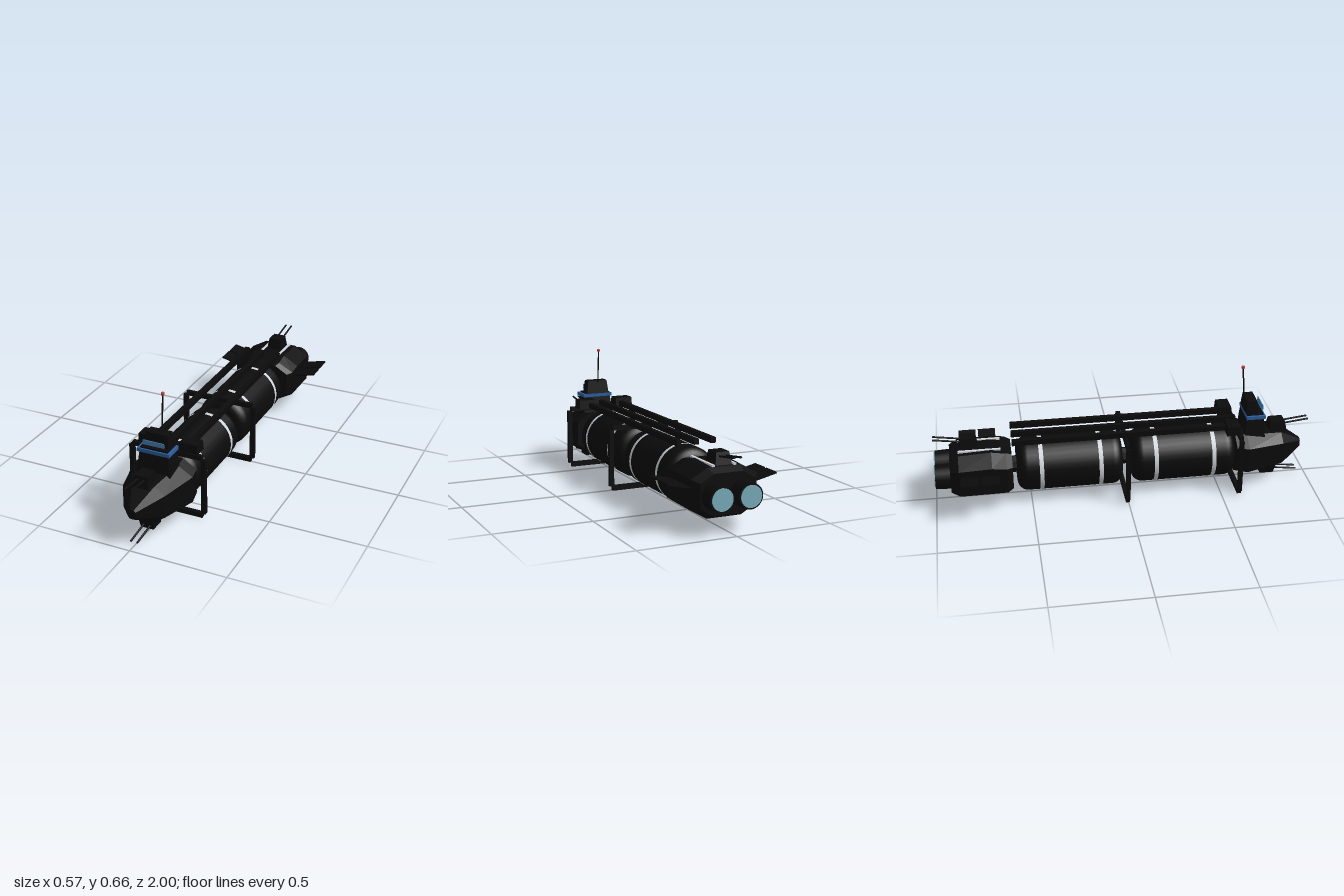
import * as THREE from 'three';

const mat = (color, flat = true) => {
  const m = new THREE.MeshStandardMaterial({ color, flatShading: flat });
  m.side = THREE.DoubleSide;
  return m;
};

export function createModel() {
  const root = new THREE.Group();
  const dark = mat(0x0b0b0b), smooth = mat(0x0b0b0b, false), pale = mat(0xd0d5da, false);
  const blue = mat(0x2b5fa0), glass = mat(0x4682b4), glow = mat(0x7ab0bd), red = mat(0xbe4040);

  const add = (name, geo, m, x = 0, y = 0, z = 0, parent = root) => {
    const mesh = new THREE.Mesh(geo, m);
    mesh.name = name;
    mesh.position.set(x, y, z);
    parent.add(mesh);
    return mesh;
  };
  // box given by its limits
  const box = (name, m, x0, x1, y0, y1, z0, z1) =>
    add(name, new THREE.BoxGeometry(x1 - x0, y1 - y0, z1 - z0), m, (x0 + x1) / 2, (y0 + y1) / 2, (z0 + z1) / 2);
  // box whose top face is scaled by tx, tz
  const taperBox = (w, h, d, tx, tz) => {
    const g = new THREE.BoxGeometry(w, h, d), p = g.attributes.position;
    for (let i = 0; i < p.count; i++)
      if (p.getY(i) > 0) p.setXYZ(i, p.getX(i) * tx, p.getY(i), p.getZ(i) * tz);
    g.computeVertexNormals();
    return g;
  };
  // straight round bar between two points
  const rod = (name, a, b, r, m = dark, parent = root) => {
    const A = new THREE.Vector3(...a), B = new THREE.Vector3(...b);
    const mesh = add(name, new THREE.CylinderGeometry(r, r, A.distanceTo(B), 8), m, 0, 0, 0, parent);
    mesh.position.copy(A).lerp(B, 0.5);
    mesh.quaternion.setFromUnitVectors(new THREE.Vector3(0, 1, 0), B.sub(A).normalize());
    return mesh;
  };
  // octagonal hull from sections [z, halfWidth, bottom, top], front to back
  const hull = (name, sections) => {
    const rings = sections.map(([z, w, y0, y1]) => {
      const c = w * 0.52, k = (y1 - y0) * 0.2;
      return [[w, y0 + k], [w, y1 - k], [c, y1], [-c, y1], [-w, y1 - k], [-w, y0 + k], [-c, y0], [c, y0]]
        .map(([x, y]) => [x, y, z]);
    });
    const v = [], last = rings.length - 1;
    for (let s = 0; s < last; s++)
      for (let i = 0; i < 8; i++) {
        const j = (i + 1) % 8, a = rings[s], b = rings[s + 1];
        v.push(...a[i], ...b[i], ...b[j], ...a[i], ...b[j], ...a[j]);
      }
    for (let i = 1; i < 7; i++) {
      v.push(...rings[0][0], ...rings[0][i], ...rings[0][i + 1]);
      v.push(...rings[last][0], ...rings[last][i + 1], ...rings[last][i]);
    }
    const g = new THREE.BufferGeometry();
    g.setAttribute('position', new THREE.Float32BufferAttribute(v, 3));
    g.computeVertexNormals();
    return add(name, g, dark);
  };

  // hull sections
  hull('noseHull', [[0.965, 0.02, 0.155, 0.205], [0.845, 0.112, 0.085, 0.28],
    [0.65, 0.16, 0.065, 0.295], [0.585, 0.15, 0.08, 0.3]]);
  hull('aftHull', [[-0.595, 0.15, 0.08, 0.285], [-0.625, 0.172, 0.065, 0.295], [-0.7, 0.172, 0.06, 0.308],
    [-0.87, 0.172, 0.06, 0.3], [-0.915, 0.145, 0.08, 0.28]]);

  // fuel tanks with rounded ends and pale bands
  const tankY = 0.178, R = 0.143;
  for (const [front, back, bands] of [[0.585, 0.035, [0.465, 0.157]], [-0.015, -0.57, [-0.135, -0.445]]]) {
    const h = (front - back) / 2, pts = [[0, -h]];
    for (let i = 0; i <= 6; i++) {
      const a = (i / 6) * Math.PI / 2;
      pts.push([R - 0.055 + 0.055 * Math.sin(a), -h + 0.055 - 0.055 * Math.cos(a)]);
    }
    const profile = [...pts, ...pts.slice().reverse().map(([r, y]) => [r, -y])];
    const g = new THREE.LatheGeometry(profile.map(([r, y]) => new THREE.Vector2(r, y)), 32);
    add('fuelTank', g.rotateX(Math.PI / 2), smooth, 0, tankY, (front + back) / 2);
    for (const z of bands)
      add('tankBand', new THREE.CylinderGeometry(R + 0.002, R + 0.002, 0.022, 32, 1, true).rotateX(Math.PI / 2),
        pale, 0, tankY, z);
  }
  rod('tankNeck', [0, tankY, 0.05], [0, tankY, -0.03], 0.045);
  rod('aftNeck', [0, tankY, -0.55], [0, tankY, -0.61], 0.045);

  // carrying frames and roof rails
  for (const z of [0.595, -0.003]) {
    box('frameBottom', dark, -0.188, 0.188, 0, 0.026, z - 0.011, z + 0.011);
    box('frameTop', dark, -0.188, 0.188, 0.321, 0.345, z - 0.011, z + 0.011);
    for (const s of [-1, 1])
      add('framePost', new THREE.BoxGeometry(0.024, 0.3, 0.022), dark, s * 0.194, 0.174, z);
  }
  for (const x of [-0.092, 0, 0.092]) box('roofRail', dark, x - 0.013, x + 0.013, 0.345, 0.373, -0.592, 0.6);

  // bridge tower
  add('bridgeTower', taperBox(0.18, 0.14, 0.11, 0.8, 0.8), dark, 0, 0.34, 0.692);
  box('bridgeBand', blue, -0.086, 0.086, 0.385, 0.403, 0.645, 0.745);
  add('bridgeCabin', taperBox(0.132, 0.07, 0.066, 0.86, 0.8), dark, 0, 0.442, 0.677);
  box('bridgeWindow', glass, -0.056, 0.056, 0.425, 0.449, 0.733, 0.737);
  rod('antenna', [0, 0.47, 0.645], [0, 0.652, 0.63], 0.004);
  add('antennaLamp', new THREE.CylinderGeometry(0.009, 0.009, 0.012, 10), red, 0, 0.654, 0.63);

  // paired parts
  for (const s of [-1, 1]) {
    add('bridgePod', taperBox(0.1, 0.05, 0.075, 0.95, 0.9), dark, s * 0.11, 0.365, 0.56);
    box('aftStripe', pale, s * 0.056 - 0.007, s * 0.056 + 0.007, 0.3, 0.31, -0.87, -0.65);
    for (const z of [-0.818, -0.713])
      add('fin', new THREE.BoxGeometry(0.135, 0.008, 0.092), dark, s * 0.219, 0.224, z).rotation.z = s * 0.22;
    add('engine', new THREE.CylinderGeometry(0.068, 0.062, 0.11, 24).rotateX(Math.PI / 2), smooth, s * 0.074, tankY, -0.938);
    add('engineGlow', new THREE.CylinderGeometry(0.054, 0.054, 0.008, 24).rotateX(Math.PI / 2), glow, s * 0.074, tankY, -0.994);
  }

  // gun turrets: base y, flip, facing along z
  const turret = (y, z, up, dir, length, rise) => {
    const t = new THREE.Group();
    t.name = 'turret';
    t.position.set(0, y, z);
    root.add(t);
    const body = add('turretBody', taperBox(0.085, 0.06, 0.1, 0.8, 0.75), dark, 0, up * 0.03, 0, t);
    if (up < 0) body.rotation.z = Math.PI;
    for (const s of [-1, 1])
      rod('gunBarrel', [s * 0.017, up * 0.038, dir * 0.02], [s * 0.017, up * (0.038 + rise), dir * length], 0.005, dark, t);
  };
  turret(0.274, 0.83, 1, 1, 0.17, 0.018);
  turret(0.08, 0.785, -1, 1, 0.17, 0.02);
  turret(0.303, -0.815, 1, -1, 0.18, 0.024);

  return root;
}
